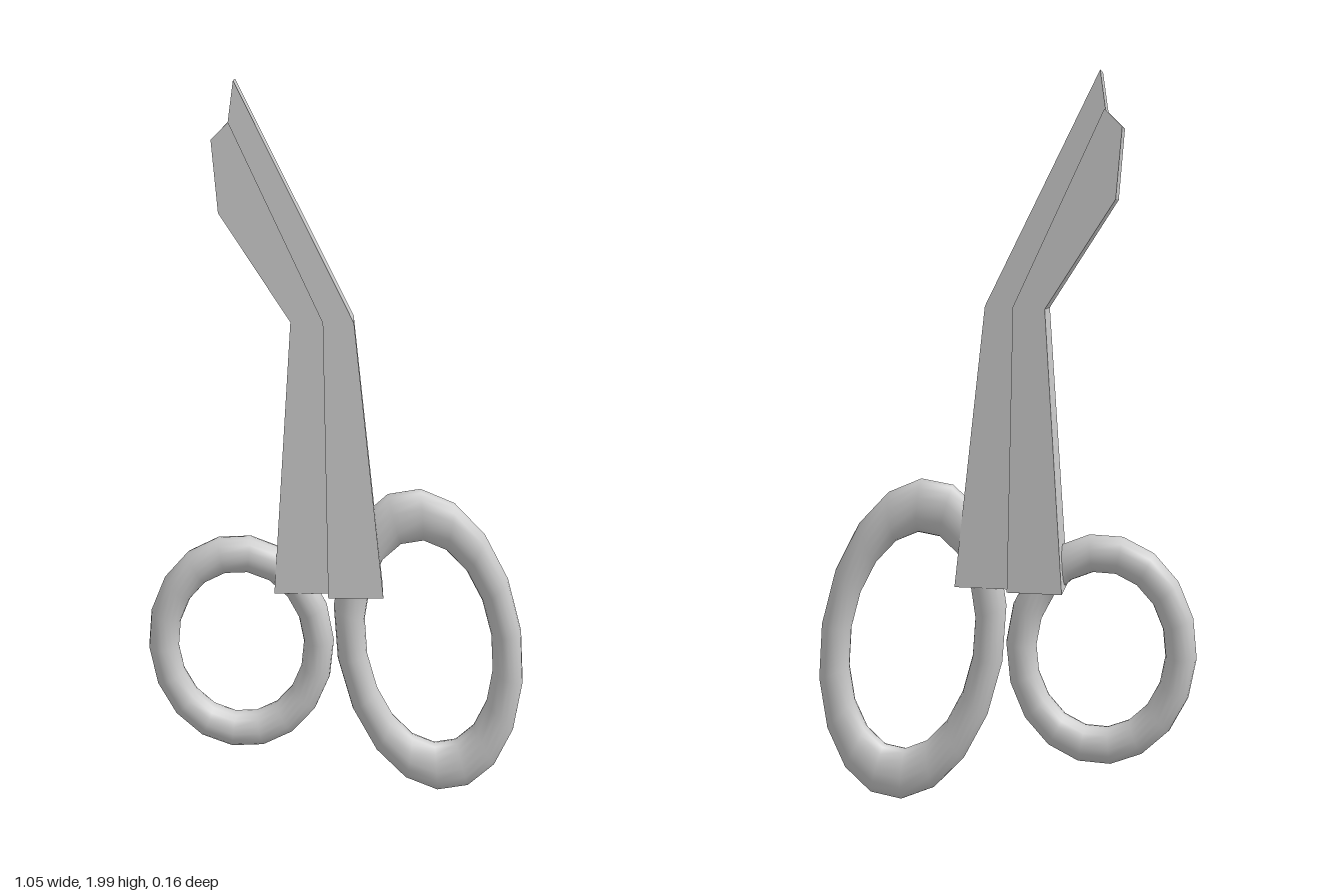
import * as THREE from 'three';

const material = new THREE.MeshStandardMaterial({ color: 0xcccccc });

// Flat blade from a front outline; its two faces taper in z with height.
function blade(name, outline, backZ, frontZ) {
  const shape = new THREE.Shape(outline.map(([x, y]) => new THREE.Vector2(x, y)));
  const geometry = new THREE.ExtrudeGeometry(shape, { depth: 1, bevelEnabled: false });
  const p = geometry.attributes.position;
  for (let i = 0; i < p.count; i++) {
    const t = (p.getY(i) - 0.64) / 1.36;
    const [bottom, top] = p.getZ(i) > 0.5 ? frontZ : backZ;
    p.setZ(i, THREE.MathUtils.lerp(bottom, top, t));
  }
  geometry.computeVertexNormals();
  const mesh = new THREE.Mesh(geometry, material);
  mesh.name = name;
  return mesh;
}

// Oval finger loop: a torus stretched along its length and tilted.
function fingerLoop(name, x, y, stretch, tilt) {
  const geometry = new THREE.TorusGeometry(0.218, 0.042, 16, 18);
  geometry.scale(1, stretch, 1);
  geometry.rotateZ(tilt);
  const mesh = new THREE.Mesh(geometry, material);
  mesh.name = name;
  mesh.position.set(x, y, 0);
  return mesh;
}

export function createModel() {
  const group = new THREE.Group();
  group.name = 'scissors';

  // Both blades meet along the bent seam.
  const seam = [[-0.02, 0.64], [-0.033, 1.4], [-0.265, 1.9]];
  group.add(
    blade('frontBlade',
      [[0.13, 0.64], [0.047, 1.4], [-0.25, 2], ...[...seam].reverse()],
      [-0.045, -0.02], [0.077, 0.05]),
    blade('backBlade',
      [...seam, [-0.311, 1.855], [-0.297, 1.675], [-0.117, 1.395], [-0.168, 0.64]],
      [-0.08, -0.053], [0.045, 0.02]),
    fingerLoop('thumbLoop', -0.265, 0.47, 1.245, 0.04),
    fingerLoop('fingerLoop', 0.262, 0.467, 1.8, 0.168),
  );
  return group;
}
